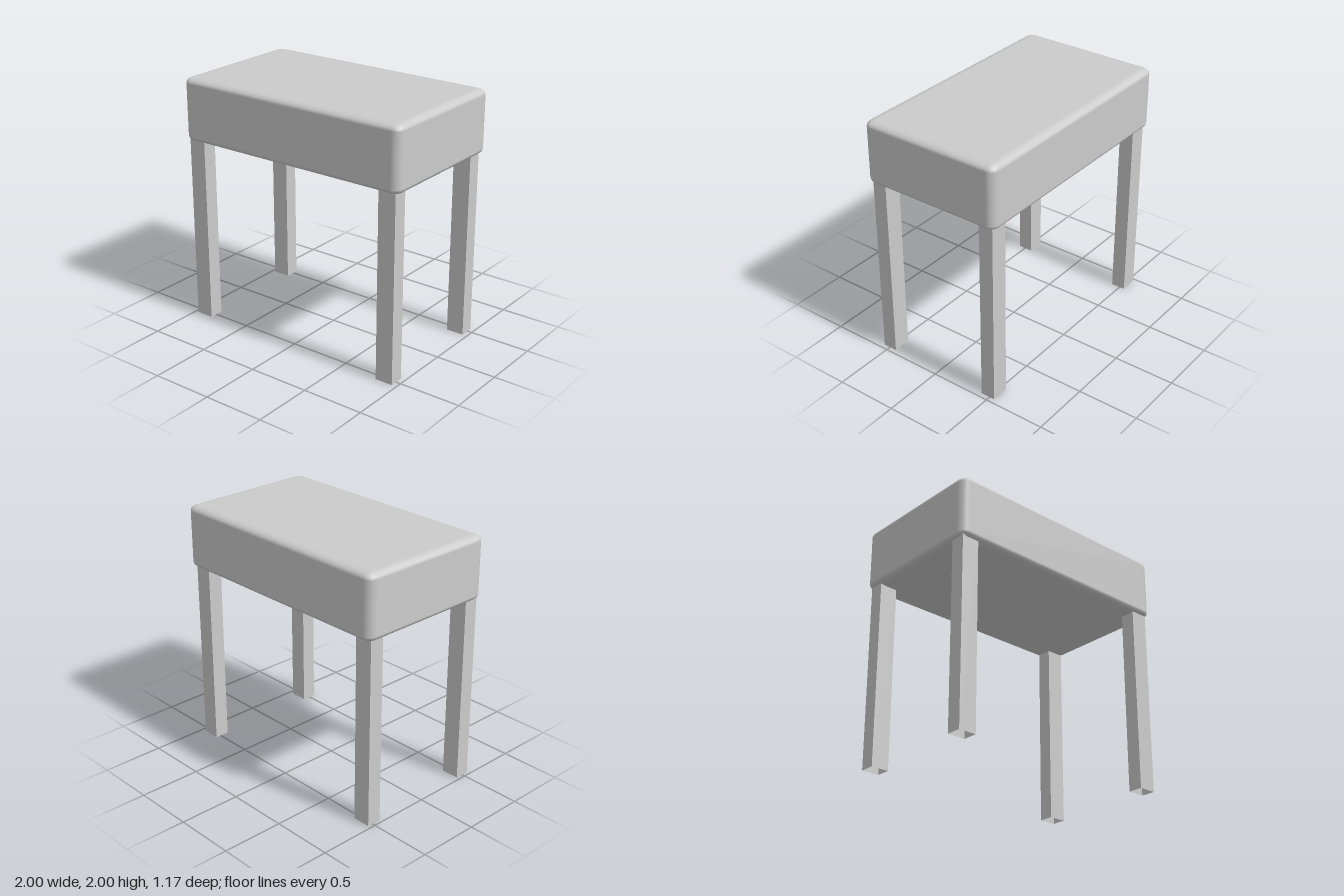
import * as THREE from 'three';
import { RoundedBoxGeometry } from 'three/addons/geometries/RoundedBoxGeometry.js';

export function createModel() {
  const model = new THREE.Group();
  model.name = 'stool';

  // Padded seat: rounded box, squashed so its edges are softer sideways than upwards
  const seatBottom = 1.49, seatHeight = 2 - seatBottom, squash = 0.66;
  const seatGeometry = new RoundedBoxGeometry(2, seatHeight / squash, 1.17, 2, 0.07);
  seatGeometry.scale(1, squash, 1);
  const seat = new THREE.Mesh(seatGeometry, new THREE.MeshStandardMaterial({ color: 0xcccccc }));
  seat.name = 'seat';
  seat.position.y = seatBottom + seatHeight / 2;
  model.add(seat);

  // Hollow square legs, open at the foot
  const legHeight = 1.51;
  const legGeometry = new THREE.CylinderGeometry(Math.SQRT1_2, Math.SQRT1_2, 1, 4, 1, true);
  legGeometry.rotateY(Math.PI / 4);
  legGeometry.scale(0.145, legHeight, 0.118);
  const legMaterial = new THREE.MeshStandardMaterial({
    color: 0xcccccc, flatShading: true, side: THREE.DoubleSide,
  });
  for (const [side, x] of [['Left', 0.888], ['Right', -0.9]]) {
    for (const [end, z] of [['front', 0.497], ['back', -0.483]]) {
      const leg = new THREE.Mesh(legGeometry, legMaterial);
      leg.name = `${end}${side}Leg`;
      leg.position.set(x, legHeight / 2, z);
      model.add(leg);
    }
  }
  return model;
}
